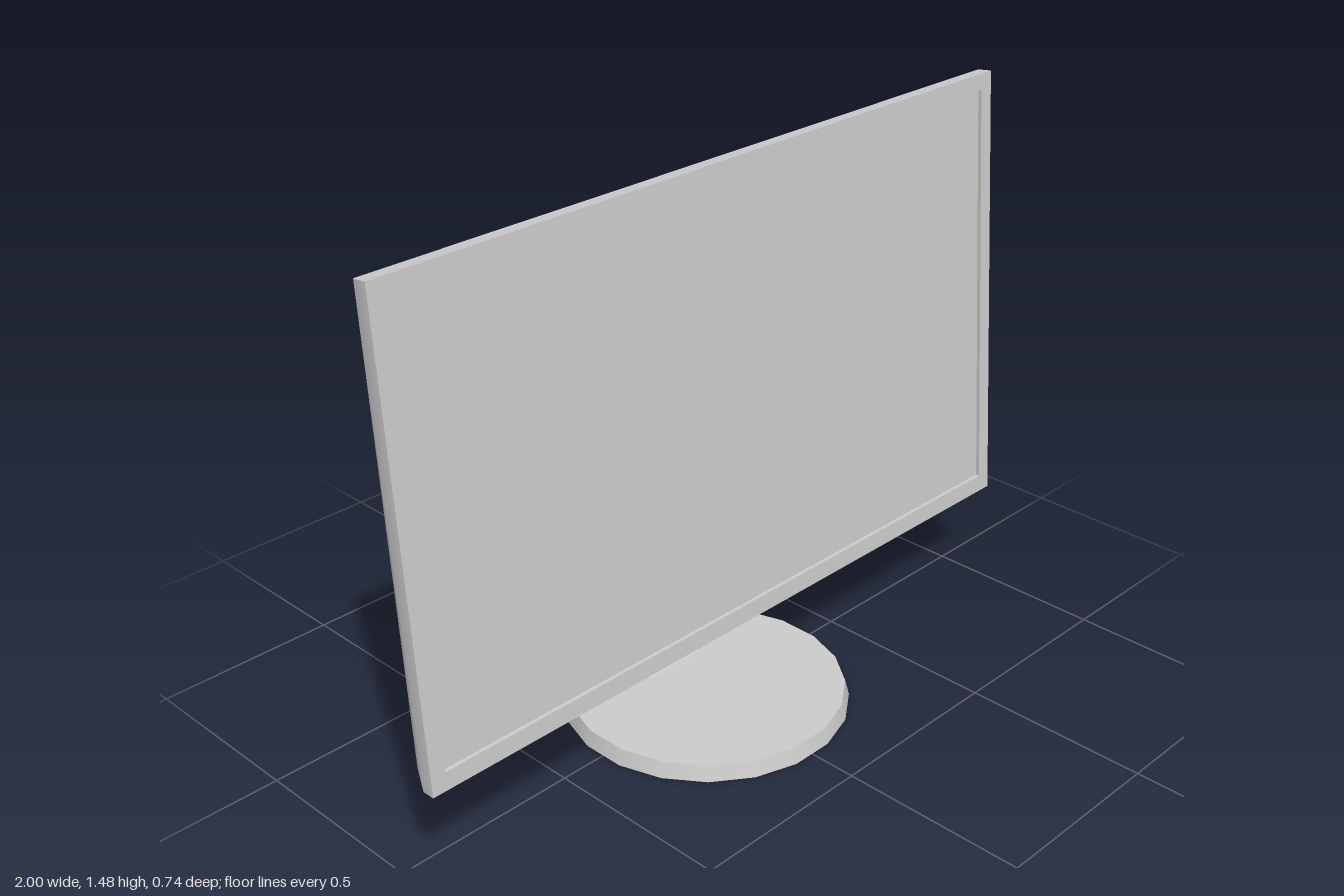
import * as THREE from 'three';
import { toCreasedNormals } from 'three/addons/utils/BufferGeometryUtils.js';

const material = new THREE.MeshStandardMaterial({ color: 0xcccccc });

// Four-cornered ring: lower edge (half width, y, z) and upper edge (half width, y, z).
const ring = (xb, yb, zb, xt, yt, zt) => [
  [-xb, yb, zb], [xb, yb, zb], [xt, yt, zt], [-xt, yt, zt],
];

// Skins successive rings and closes both ends; soft bends stay smooth.
function loft(rings, crease) {
  const points = [];
  const quad = (a, b, c, d) => points.push(...a, ...b, ...c, ...a, ...c, ...d);
  for (let r = 0; r < rings.length - 1; r++) {
    const a = rings[r], b = rings[r + 1];
    for (let i = 0; i < 4; i++) {
      const j = (i + 1) % 4;
      quad(a[i], b[i], b[j], a[j]);
    }
  }
  quad(...rings[0]);
  quad(...rings[rings.length - 1].slice().reverse());
  const geometry = new THREE.BufferGeometry();
  geometry.setAttribute('position', new THREE.Float32BufferAttribute(points, 3));
  return toCreasedNormals(geometry, crease);
}

function part(name, geometry) {
  const mesh = new THREE.Mesh(geometry, material);
  mesh.name = name;
  return mesh;
}

// Depth of the front plane, which leans back towards the top.
const frontZ = (y) => 0.142 - (y - 0.29) * 0.0731;
const frontRing = (x, yb, yt, depth) =>
  ring(x, yb, frontZ(yb) - depth, x, yt, frontZ(yt) - depth);

export function createModel() {
  const group = new THREE.Group();
  group.name = 'monitor';

  // Housing: recess, bezel, rim, then a back that bevels in at the sides and bottom
  group.add(part('housing', loft([
    frontRing(0.96, 0.337, 1.438, 0.012),
    frontRing(0.96, 0.337, 1.438, 0),
    frontRing(1, 0.29, 1.48, 0),
    ring(1, 0.29, 0.108, 1, 1.475, 0.017),
    ring(0.98, 0.323, 0.065, 0.998, 1.475, 0.016),
    ring(0.935, 0.39, 0.037, 0.994, 1.475, 0.015),
  ], 0.66)));

  // Display panel lying in the recess
  group.add(part('screen', loft([
    frontRing(0.96, 0.337, 1.438, 0.01),
    frontRing(0.96, 0.337, 1.438, 0.013),
  ], 0.5)));

  // Arm: flared mount behind the housing, bend, slanted leg, flared foot
  group.add(part('standArm', loft([
    ring(0.135, 0.385, 0.045, 0.135, 0.515, 0.02),
    ring(0.1, 0.386, 0.012, 0.1, 0.516, 0.01),
    ring(0.062, 0.387, -0.004, 0.062, 0.517, -0.004),
    ring(0.048, 0.386, -0.025, 0.048, 0.516, -0.025),
    ring(0.046, 0.382, -0.05, 0.046, 0.511, -0.058),
    ring(0.046, 0.37, -0.062, 0.045, 0.495, -0.09),
    ring(0.055, 0.1, -0.155, 0.052, 0.105, -0.348),
    ring(0.062, 0.065, -0.15, 0.06, 0.07, -0.362),
    ring(0.078, 0.05, -0.135, 0.068, 0.05, -0.364),
    ring(0.1, 0.04, -0.11, 0.074, 0.038, -0.366),
  ], 0.75)));

  // Round base with a slightly tapered rim
  const disc = new THREE.CylinderGeometry(0.364, 0.375, 0.042, 20);
  disc.rotateY(Math.PI / 20);
  disc.translate(0, 0.021, 0);
  group.add(part('base', disc));

  return group;
}
